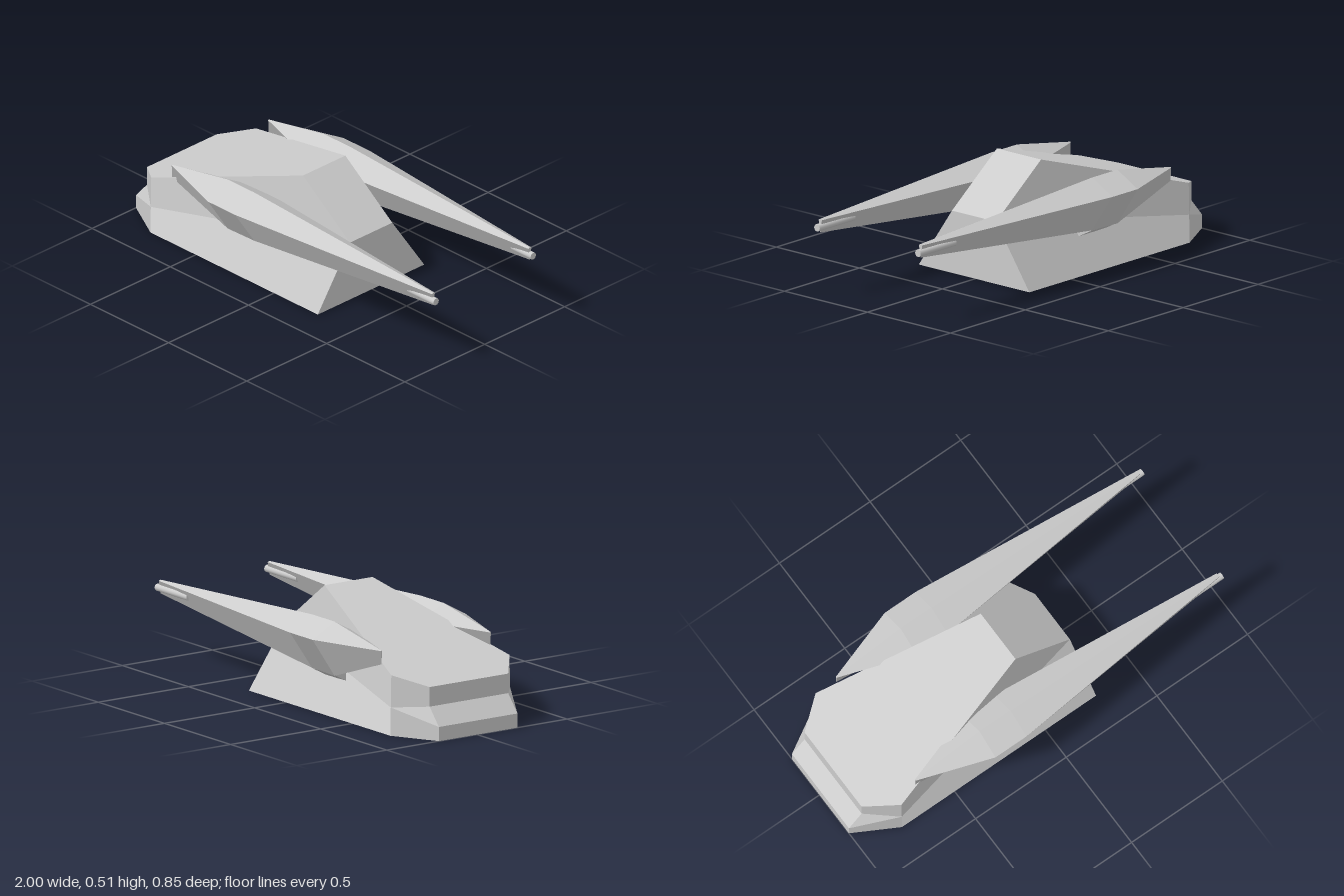
import * as THREE from 'three';

const grey = new THREE.MeshStandardMaterial({ color: 0xcccccc });
grey.name = 'hull grey';

// Geometry from polygons, each a loop of [x, y, z] corners shaded with one mean normal
function facets(polygons) {
  const pos = [], nor = [];
  for (const loop of polygons) {
    const p = loop.map((c) => new THREE.Vector3(...c));
    const normal = new THREE.Vector3();
    p.forEach((a, i) => normal.add(a.clone().cross(p[(i + 1) % p.length])));
    normal.normalize();
    for (let i = 1; i < p.length - 1; i++)
      for (const c of [p[0], p[i], p[i + 1]]) {
        pos.push(...c.toArray());
        nor.push(...normal.toArray());
      }
  }
  const g = new THREE.BufferGeometry();
  g.setAttribute('position', new THREE.Float32BufferAttribute(pos, 3));
  g.setAttribute('normal', new THREE.Float32BufferAttribute(nor, 3));
  return g;
}

function part(name, geometry) {
  const mesh = new THREE.Mesh(geometry, grey);
  mesh.name = name;
  return mesh;
}

const flipZ = ([x, y, z]) => [x, y, -z];

// Wedge hull: panels spanning the width, plus mirrored flanks
function hullGeometry() {
  const heel = [-1, 0, 0.218], lip = [-1, 0.065, 0.218];
  const notch = [-0.93, 0.145, 0.218], stern = [-0.93, 0.235, 0.218];
  const shoulder = [-0.79, 0.278, 0.328], peak = [-0.02, 0.515, 0.133];
  const brow = [0.28, 0.29, 0.133], foot = [0.28, 0, 0.333];
  const keel = [-0.79, 0, 0.333], mid = [-0.79, 0.13, 0.331];

  const belt = [heel, lip, notch, stern, shoulder, peak, brow, foot, keel];
  const polys = belt.map((p, i) => {
    const q = belt[(i + 1) % belt.length];
    return [p, q, flipZ(q), flipZ(p)];
  });
  const flank = [
    [foot, brow, mid, keel], [mid, brow, peak, shoulder],
    [heel, keel, mid, lip], [lip, mid, notch], [notch, mid, shoulder, stern],
  ];
  for (const f of flank) polys.push(f, f.map(flipZ).reverse());
  return facets(polys);
}

// Long diamond-section pod, lofted along x
function podGeometry() {
  const edgeY = 0.367;
  const rings = [
    [-0.69, 0.37, 0.306, 0.003],
    [-0.335, 0.434, 0.184, 0.122],
    [-0.165, 0.434, 0.188, 0.122],
    [0.98, 0.371, 0.308, 0.01],
  ].map(([x, top, bottom, w]) => [[x, top, 0], [x, edgeY, w], [x, bottom, 0], [x, edgeY, -w]]);
  const polys = [[...rings[0]].reverse(), rings[3]];
  for (let i = 0; i < rings.length - 1; i++)
    for (let k = 0; k < 4; k++) {
      const n = (k + 1) % 4;
      polys.push([rings[i][k], rings[i][n], rings[i + 1][n], rings[i + 1][k]]);
    }
  return facets(polys);
}

// Strut joining the pod's belly to the hull flank
function strutGeometry(side) {
  const outline = [[0.3, 0.186], [0.225, 0.146], [0.19, 0.19], [0.19, 0.36], [0.3, 0.36]];
  const shape = new THREE.Shape(outline.map(([z, y]) => new THREE.Vector2(-side * z, y)));
  const g = new THREE.ExtrudeGeometry(shape, { depth: 0.175, bevelEnabled: false });
  g.rotateY(Math.PI / 2);
  g.translate(-0.337, 0, 0);
  return g;
}

export function createModel() {
  const model = new THREE.Group();
  model.name = 'vehicle';

  const hull = part('hull', hullGeometry());
  hull.position.z = 0.007;
  model.add(hull);

  for (const side of [1, -1]) {
    const label = side > 0 ? 'front' : 'back';
    const pod = part(label + 'Pod', podGeometry());
    pod.position.z = side * 0.302;

    // Gun barrel at the pod's tip
    const barrel = part(label + 'Barrel', new THREE.CylinderGeometry(0.017, 0.017, 0.24, 12));
    barrel.rotation.z = -Math.PI / 2;
    barrel.position.set(0.88, 0.333, side * 0.304);

    model.add(pod, barrel, part(label + 'Strut', strutGeometry(side)));
  }
  return model;
}
